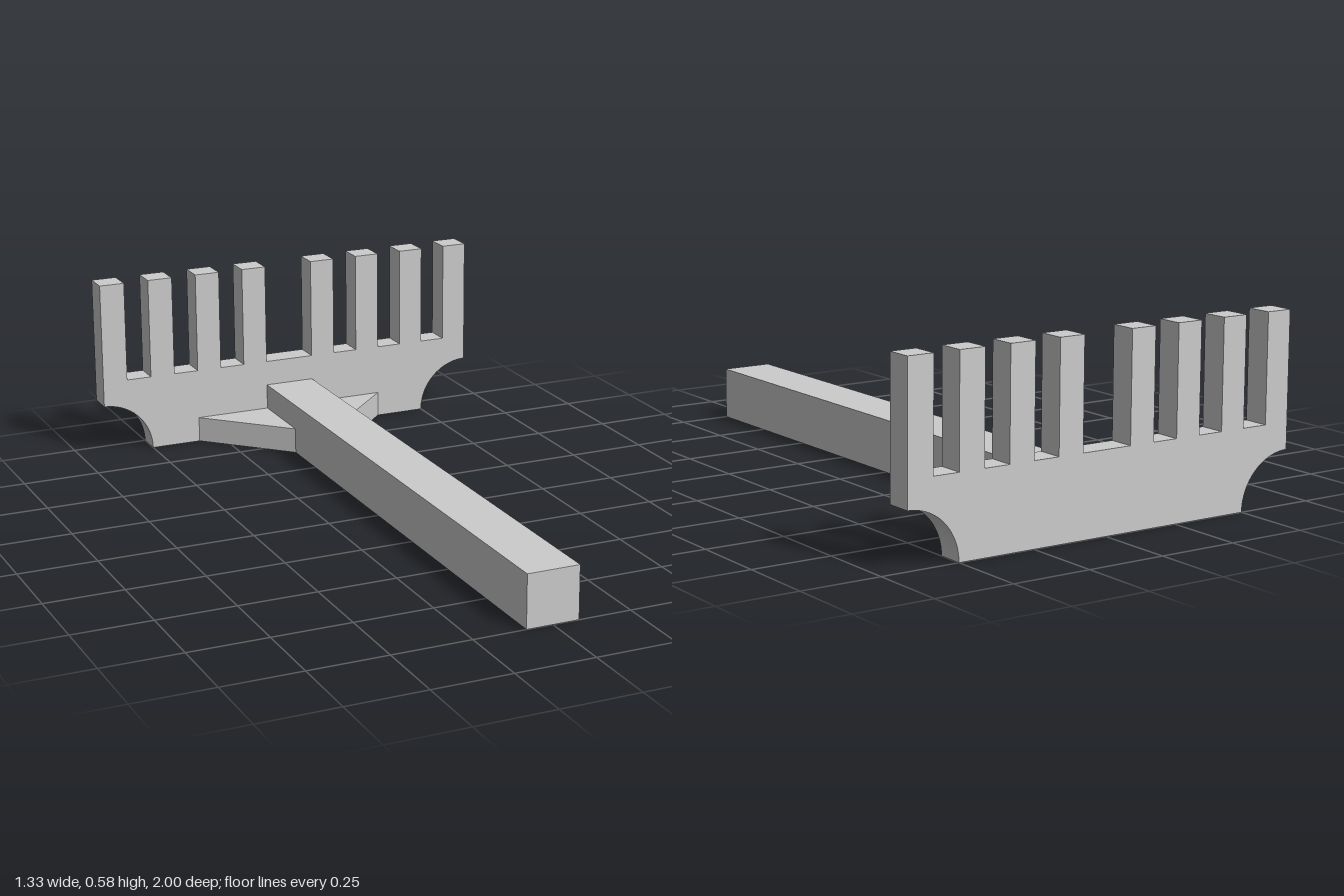
import * as THREE from 'three';

const U = 1 / 12; // design unit

export function createModel() {
  const group = new THREE.Group();
  group.name = 'rake';
  const material = new THREE.MeshStandardMaterial({ color: 0xcccccc });
  const add = (name, geometry) => {
    const mesh = new THREE.Mesh(geometry, material);
    mesh.name = name;
    group.add(mesh);
    return mesh;
  };

  // Toothed head: flat plate with scooped lower corners and a wider middle gap
  const head = new THREE.Shape();
  head.moveTo(-6 * U, 0);
  head.lineTo(6 * U, 0);
  head.absarc(8 * U, 0, 2 * U, Math.PI, Math.PI / 2, true);
  const teeth = [7, 5, 3, 1, -2, -4, -6, -8]; // left edge of each tooth
  for (const x of teeth) {
    if (x !== 7) head.lineTo((x + 1) * U, 3 * U);
    head.lineTo((x + 1) * U, 7 * U);
    head.lineTo(x * U, 7 * U);
    if (x !== -8) head.lineTo(x * U, 3 * U);
  }
  head.lineTo(-8 * U, 2 * U);
  head.absarc(-8 * U, 0, 2 * U, Math.PI / 2, 0, true);
  const headGeometry = new THREE.ExtrudeGeometry(head, { depth: U, bevelEnabled: false, curveSegments: 16 });
  add('toothedHead', headGeometry).position.z = -1;

  // Square handle running forward from the head
  const handleLength = 2 - U;
  const handle = add('handle', new THREE.BoxGeometry(2 * U, 2 * U, handleLength));
  handle.position.set(0, U, 1 - handleLength / 2);

  // Triangular braces between handle and head
  for (const side of [1, -1]) {
    const brace = new THREE.Shape();
    brace.moveTo(side * U, 11 * U);
    brace.lineTo(side * 4 * U, 11 * U);
    brace.lineTo(side * U, 8 * U);
    brace.closePath();
    const geometry = new THREE.ExtrudeGeometry(brace, { depth: U, bevelEnabled: false });
    geometry.rotateX(-Math.PI / 2); // shape y becomes -z, depth becomes height
    add(side > 0 ? 'leftBrace' : 'rightBrace', geometry);
  }

  return group;
}
